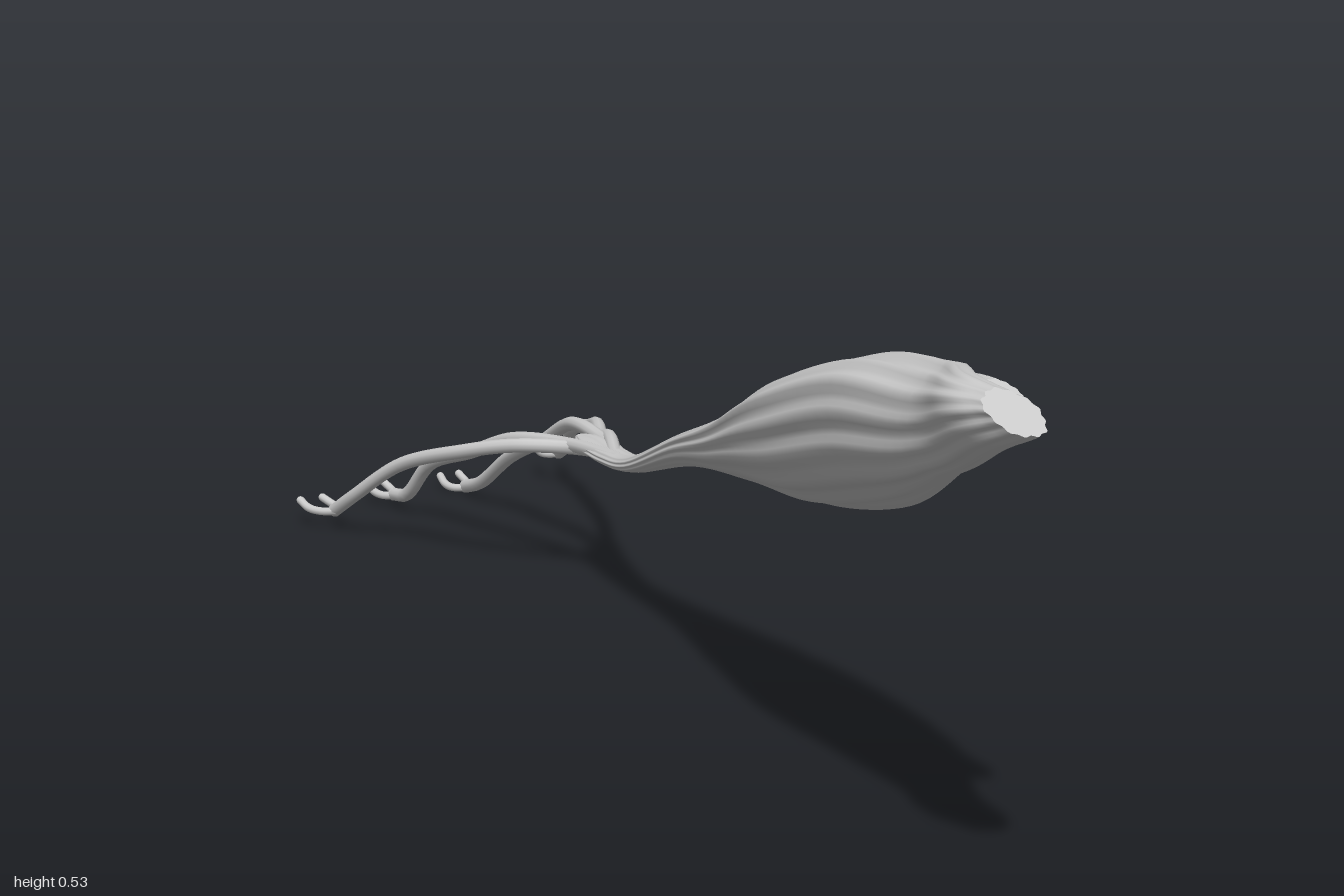
import * as THREE from 'three';

const material = new THREE.MeshStandardMaterial({ color: 0xcccccc });
const v = (a) => new THREE.Vector3(...a);

// Lofts slanted, fluted ovals along z. Section: [x, y, z, halfWidth, halfHeight, slant]
function loft(name, sections, steps, ribs, endLean) {
  const sides = 64;
  const centres = new THREE.CatmullRomCurve3(sections.map((s) => v(s.slice(0, 3))), false, 'catmullrom');
  const sizes = new THREE.CatmullRomCurve3(sections.map((s) => v(s.slice(3))), false, 'catmullrom');
  const pos = [], index = [];
  for (let i = 0; i <= steps; i++) {
    const t = i / steps;
    const c = centres.getPoint(t), s = sizes.getPoint(t);
    const lean = endLean * Math.max(0, 1 - t * 5);
    for (let j = 0; j < sides; j++) {
      const a = (j / sides) * Math.PI * 2;
      const r = 1 + ribs * (0.4 * Math.sin(5 * a + 3 * t) + 0.6 * Math.sin(13 * a - 5 * t) - 0.1);
      const dy = s.y * r * Math.sin(a - s.z);
      pos.push(c.x + s.x * r * Math.cos(a), c.y + dy, c.z - lean * dy);
    }
  }
  for (let i = 0; i < steps; i++) {
    for (let j = 0; j < sides; j++) {
      const k = (j + 1) % sides;
      const a = i * sides + j, b = i * sides + k;
      index.push(a, a + sides, b, b, a + sides, b + sides);
    }
  }
  // Flat caps with their own vertices keep the cut ends sharp
  for (const end of [0, steps]) {
    const first = pos.length / 3;
    const ring = pos.slice(end * sides * 3, (end + 1) * sides * 3);
    const c = centres.getPoint(end / steps);
    pos.push(...ring, c.x, c.y, c.z);
    for (let j = 0; j < sides; j++) {
      const a = first + j, b = first + (j + 1) % sides;
      index.push(first + sides, ...(end === 0 ? [a, b] : [b, a]));
    }
  }
  const geometry = new THREE.BufferGeometry();
  geometry.setAttribute('position', new THREE.Float32BufferAttribute(pos, 3));
  geometry.setIndex(index);
  geometry.computeVertexNormals();
  const mesh = new THREE.Mesh(geometry, material);
  mesh.name = name;
  return mesh;
}

// Round cord through points with a rounded far end
function cord(name, points, radius, steps) {
  const group = new THREE.Group();
  group.name = name;
  const curve = new THREE.CatmullRomCurve3(points.map(v));
  group.add(new THREE.Mesh(new THREE.TubeGeometry(curve, steps, radius, 10), material));
  const tip = new THREE.Mesh(new THREE.SphereGeometry(radius, 10, 8), material);
  tip.position.copy(v(points[points.length - 1]));
  group.add(tip);
  return group;
}

export function createModel() {
  const model = new THREE.Group();
  model.name = 'forearmMuscle';

  // Belly, from the cut upper end down to the flat common tendon
  model.add(loft('muscleBelly', [
    [-0.306, 0.514, 0.97, 0.027, 0.017, 0.1],
    [-0.294, 0.5, 0.9, 0.036, 0.031, 0],
    [-0.241, 0.466, 0.78, 0.046, 0.053, 0],
    [-0.185, 0.417, 0.6, 0.071, 0.076, 0.33],
    [-0.138, 0.363, 0.4, 0.077, 0.07, 0.36],
    [-0.086, 0.31, 0.2, 0.062, 0.04, 0.45],
    [-0.04, 0.266, 0, 0.035, 0.02, 0.3],
    [0.004, 0.206, -0.2, 0.02, 0.011, 0],
    [0.03, 0.191, -0.3, 0.022, 0.01, 0],
    [0.056, 0.187, -0.39, 0.025, 0.009, 0],
    [0.062, 0.187, -0.44, 0.008, 0.004, 0],
  ], 70, 0.07, 1.6));

  // Shorter second head on the inner side of the upper end
  model.add(loft('secondHead', [
    [-0.211, 0.493, 0.825, 0.02, 0.014, 0.3],
    [-0.2, 0.481, 0.76, 0.026, 0.023, 0.5],
    [-0.165, 0.438, 0.62, 0.042, 0.042, 0.6],
    [-0.14, 0.382, 0.45, 0.04, 0.03, 0.5],
  ], 24, 0.06, 1));

  // Four tendons fanning out to the fingers
  const tendons = [
    [[0.018, 0.195, -0.27], [0.04, 0.182, -0.4], [-0.005, 0.175, -0.485], [-0.036, 0.155, -0.57],
      [-0.06, 0.115, -0.7], [-0.08, 0.06, -0.79], [-0.086, 0.03, -0.84]],
    [[0.02, 0.195, -0.27], [0.037, 0.183, -0.42], [0.032, 0.165, -0.56], [0.034, 0.125, -0.68],
      [0.035, 0.085, -0.8], [0.036, 0.03, -0.87], [0.037, 0.022, -0.91]],
    [[0.03, 0.192, -0.3], [0.072, 0.188, -0.4], [0.098, 0.184, -0.525], [0.12, 0.138, -0.64],
      [0.144, 0.085, -0.78], [0.154, 0.03, -0.88], [0.16, 0.013, -0.935]],
    [[0.03, 0.193, -0.3], [0.08, 0.192, -0.4], [0.115, 0.174, -0.48], [0.16, 0.168, -0.57],
      [0.2, 0.145, -0.66], [0.268, 0.098, -0.83], [0.285, 0.07, -0.87], [0.302, 0.046, -0.925]],
  ];
  const spreads = [0.018, 0.013, 0.016, 0.019];
  tendons.forEach((points, i) => {
    model.add(cord(`fingerTendon${i + 1}`, points, 0.009, 48));
    // Forked slip at the end of each tendon
    const [x, y, z] = points[points.length - 1];
    const turn = [-0.006, 0.002, 0.006, 0.012][i];
    for (const side of [-1, 1]) {
      const out = side * spreads[i];
      model.add(cord(`tendonSlip${i + 1}${side < 0 ? 'Right' : 'Left'}`, [
        [x, y, z + 0.008],
        [x + out * 0.75, y - 0.003, z - 0.014],
        [x + out + turn * 0.5, y - 0.002, z - 0.036],
        [x + out * 0.9 + turn, y + 0.004, z - 0.059],
      ], 0.0054, 14));
    }
  });
  return model;
}
